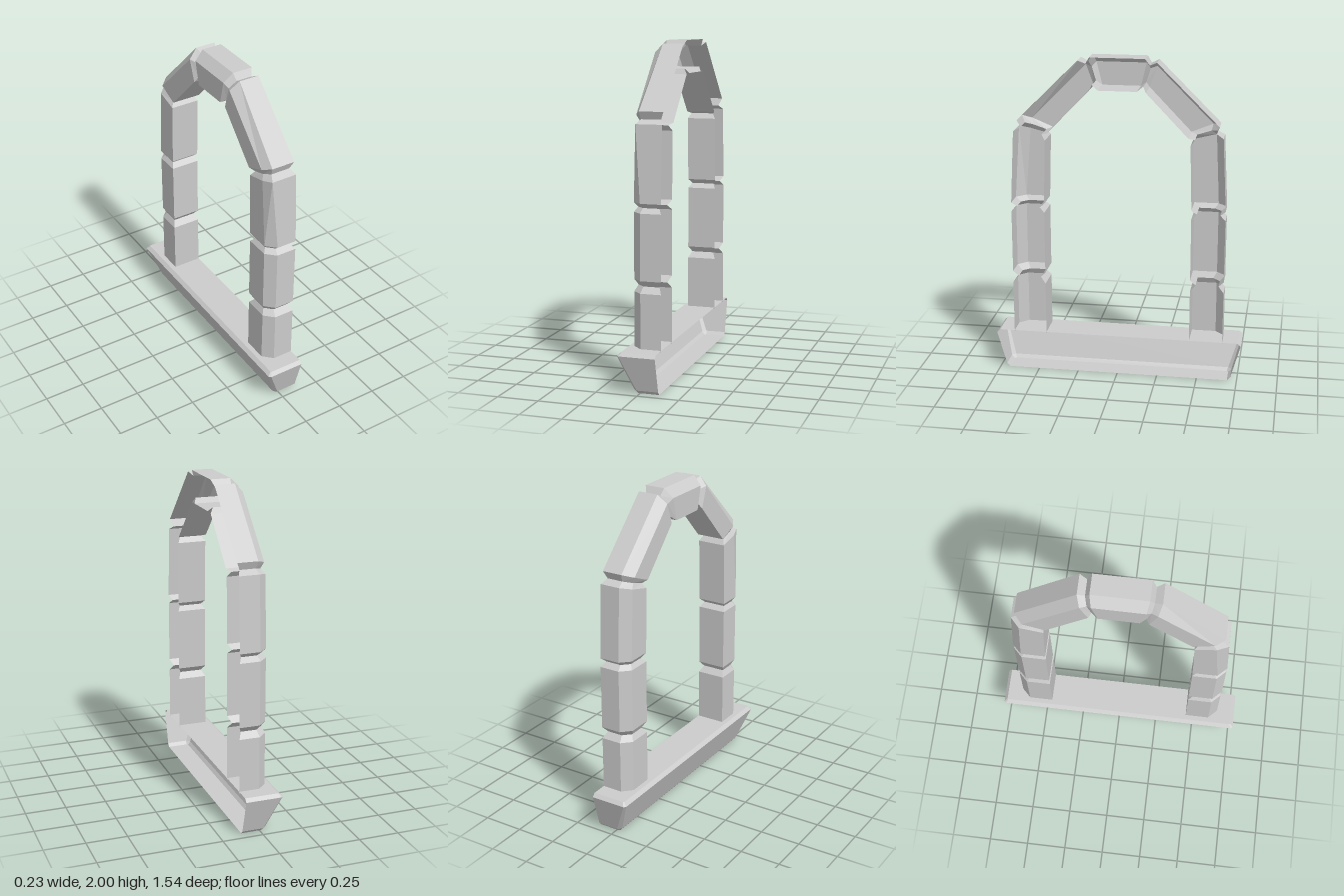
import * as THREE from 'three';

const material = new THREE.MeshStandardMaterial({ color: 0xcccccc, flatShading: true, side: THREE.DoubleSide });
const BACK = 0.115, FRONT = -0.065;

// Skin a series of open cross-sections (equal point counts) with flat facets.
function loft(rings, name) {
  const pos = [];
  const tri = (a, b, c) => {
    const area = b.clone().sub(a).cross(c.clone().sub(a)).length();
    if (area > 1e-9) for (const p of [a, b, c]) pos.push(p.x, p.y, p.z);
  };
  for (let r = 0; r < rings.length - 1; r++) {
    const lo = rings[r], hi = rings[r + 1];
    for (let i = 0; i < lo.length - 1; i++) {
      tri(lo[i], lo[i + 1], hi[i + 1]);
      tri(lo[i], hi[i + 1], hi[i]);
    }
  }
  const geo = new THREE.BufferGeometry();
  geo.setAttribute('position', new THREE.Float32BufferAttribute(pos, 3));
  geo.computeVertexNormals();
  const mesh = new THREE.Mesh(geo, material);
  mesh.name = name;
  return mesh;
}

// Section of a stone: inner wall, front face, chamfered outer edge, outer wall; open at the back.
function stoneRing({ inner, outer, inset = 0, cx = 0.055, cz = 0.055 }) {
  const a = new THREE.Vector2(...inner), b = new THREE.Vector2(...outer);
  const dir = b.clone().sub(a).normalize();
  a.addScaledVector(dir, inset);
  b.addScaledVector(dir, -inset);
  const cut = b.clone().addScaledVector(dir, -cz);
  const front = FRONT + inset * 0.6, back = BACK - inset * 0.6;
  const v = (x, p) => new THREE.Vector3(x, p.y, p.x);
  return [v(back, a), v(front, a), v(front, cut), v(front + cx, b), v(back, b)];
}

// Narrow waist between two neighbouring stones.
function neck(s, t) {
  const mid = (p, q) => [(p[0] + q[0]) / 2, (p[1] + q[1]) / 2];
  return {
    inner: mid(s.inner, t.inner), outer: mid(s.outer, t.outer), inset: 0.032,
    cx: ((s.cx ?? 0.055) + (t.cx ?? 0.055)) * 0.4, cz: ((s.cz ?? 0.055) + (t.cz ?? 0.055)) * 0.4
  };
}

// Sill section at height y: open at the back, clipped at the two front corners.
function sillRing(y, x, z, c) {
  return [[BACK, -z], [x + c, -z], [x, -z + c], [x, z - c], [x + c, z], [BACK, z]]
    .map(([px, pz]) => new THREE.Vector3(px, y, pz));
}

export function createModel() {
  const group = new THREE.Group();
  group.name = 'archedWindowSurround';

  // Sill: flared body with bevelled top and bottom edges, closed above and below
  const base = sillRing(0, -0.02, 0.69, 0.01);
  const top = sillRing(0.25, -0.095, 0.75, 0.005);
  const toBack = ring => ring.map(p => new THREE.Vector3(BACK, p.y, p.z));
  group.add(loft([
    toBack(base), base,
    sillRing(0.02, -0.037, 0.71, 0.022),
    sillRing(0.23, -0.117, 0.77, 0.012),
    top, toBack(top)
  ], 'sill'));

  // Start and end section of each stone on one side, as [z, y] pairs
  const side = [
    [{ inner: [0.45, 0.24], outer: [0.655, 0.24] }, { inner: [0.45, 0.575], outer: [0.655, 0.575] }],
    [{ inner: [0.45, 0.648], outer: [0.655, 0.648] }, { inner: [0.45, 1.037], outer: [0.655, 1.037] }],
    [{ inner: [0.45, 1.093], outer: [0.655, 1.093] }, { inner: [0.438, 1.49], outer: [0.632, 1.54] }],
    [{ inner: [0.425, 1.535], outer: [0.608, 1.61] }, { inner: [0.17, 1.8], outer: [0.235, 1.98] }]
  ];
  const keystone = [{ inner: [0.117, 1.805], outer: [0.165, 2] }, { inner: [-0.117, 1.805], outer: [-0.165, 2] }];
  const flip = s => ({ ...s, inner: [-s.inner[0], s.inner[1]], outer: [-s.outer[0], s.outer[1]] });
  const farSide = side.map(([s, e]) => [flip(e), flip(s)]).reverse();

  // The shoulder on the front side has a wider, shallower chamfer
  Object.assign(side[2][1], { cx: 0.022, cz: 0.07 });
  Object.assign(side[3][0], { cx: 0.035, cz: 0.06 });

  // One continuous arch of stones joined by waists
  const stones = [...side, keystone, ...farSide];
  const sections = [];
  stones.forEach(([start, end], i) => {
    sections.push(start, end);
    if (i < stones.length - 1) sections.push(neck(end, stones[i + 1][0]));
  });
  group.add(loft(sections.map(stoneRing), 'archStones'));

  return group;
}
